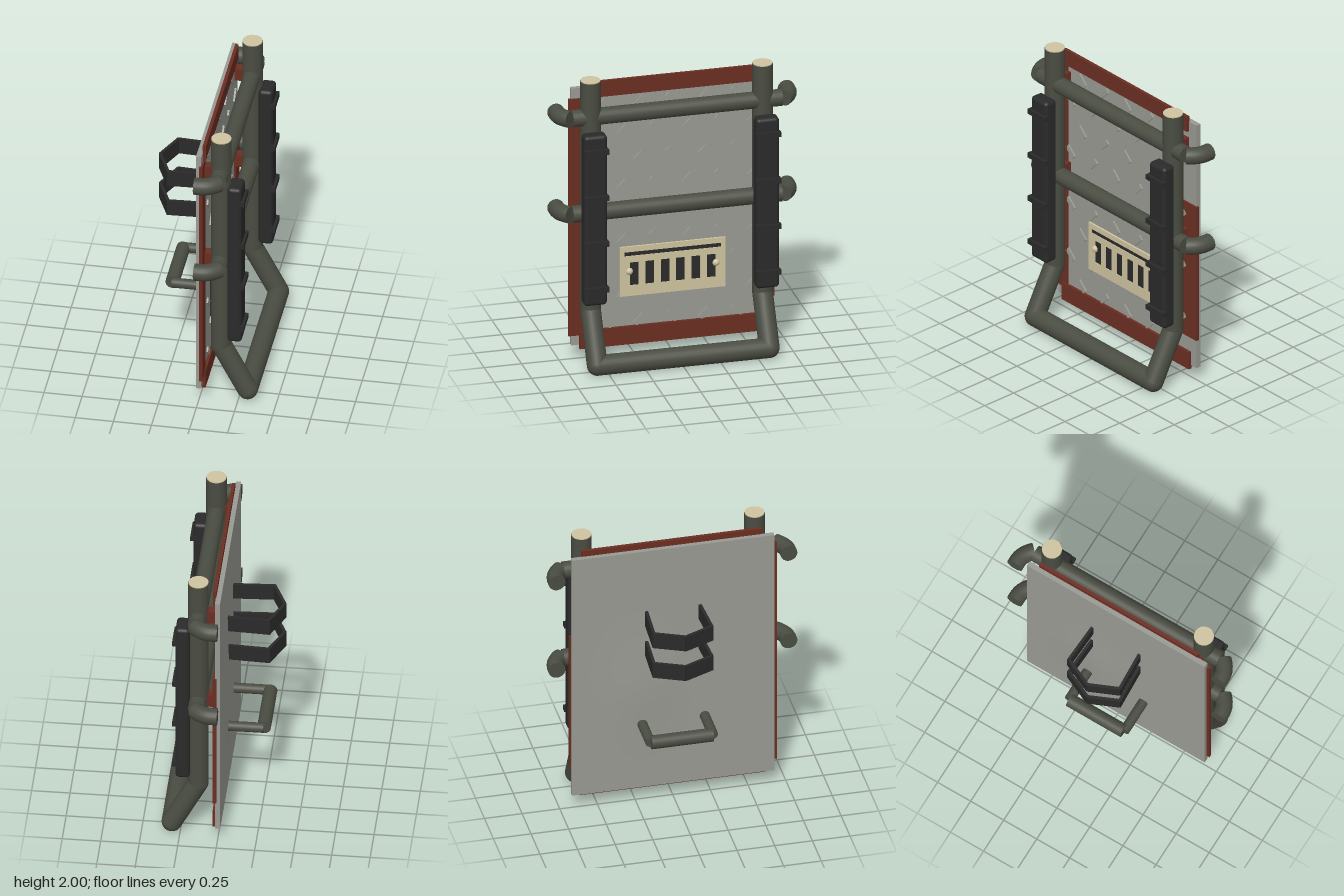
import * as THREE from 'three';
import { RoundedBoxGeometry } from 'three/addons/geometries/RoundedBoxGeometry.js';

const mat = (color, side = THREE.FrontSide) => new THREE.MeshStandardMaterial({ color, side });

export function createModel() {
  const root = new THREE.Group();
  const olive = mat(0x4a4d42), steel = mat(0x9a9a93), rust = mat(0x6b2e22);
  const rubber = mat(0x2b2a2b), cream = mat(0xcfc4a0);

  function add(name, geometry, material, x = 0, y = 0, z = 0) {
    const mesh = new THREE.Mesh(geometry, material);
    mesh.name = name;
    mesh.position.set(x, y, z);
    root.add(mesh);
    return mesh;
  }
  const box = (name, m, w, h, d, x, y, z) => add(name, new THREE.BoxGeometry(w, h, d), m, x, y, z);

  // Straight pipe between two points
  function pipe(name, a, b, r) {
    const p = new THREE.Vector3(...a), q = new THREE.Vector3(...b);
    const dir = q.clone().sub(p);
    const mesh = add(name, new THREE.CylinderGeometry(r, r, dir.length(), 24), olive);
    mesh.position.copy(p).add(q).multiplyScalar(0.5);
    mesh.quaternion.setFromUnitVectors(new THREE.Vector3(0, 1, 0), dir.normalize());
  }
  const joint = (name, p, r) => add(name, new THREE.SphereGeometry(r, 24, 16), olive, ...p);

  // Door panel, with a shallow dent pushed out of its back
  const panel = new THREE.BoxGeometry(0.034, 1.8, 1.345, 1, 28, 24);
  const pos = panel.attributes.position;
  for (let i = 0; i < pos.count; i++) {
    if (pos.getX(i) > 0) continue;
    const dy = (pos.getY(i) + 0.15) / 0.33, dz = (pos.getZ(i) + 0.2) / 0.22;
    pos.setX(i, pos.getX(i) - 0.017 * Math.exp(-dy * dy - dz * dz));
  }
  panel.computeVertexNormals();
  add('panel', panel, steel, 0, 1, 0);

  // Raised tread bars in staggered rows
  const treadGeometry = new THREE.BoxGeometry(0.016, 0.09, 0.036);
  for (let row = 0; row < 9; row++) {
    const odd = row % 2, count = odd ? 6 : 5;
    for (let i = 0; i < count; i++) {
      const z = (i - (count - 1) / 2) * 0.218;
      const tread = add('tread', treadGeometry, steel, 0.021, 0.24 + row * 0.191, z);
      tread.rotation.x = (i + odd) % 2 ? -Math.PI / 4 : Math.PI / 4;
    }
  }

  // Rusty edge strips
  box('topStrip', rust, 0.022, 0.11, 1.2, 0.025, 1.885, 0);
  box('bottomStrip', rust, 0.022, 0.125, 1.24, 0.026, 0.138, 0);
  box('leftStrip', rust, 0.022, 1.66, 0.12, 0.018, 1.0, 0.633);
  box('rightStrip', rust, 0.022, 0.99, 0.135, 0.018, 0.805, -0.617);

  // Posts, bent legs, pads and mounts on both sides
  const R = 0.067, postX = 0.133, barX = 0.305;
  for (const s of [-1, 1]) {
    const z = 0.575 * s;
    pipe('post', [postX, 0.395, z], [postX, 1.994, z], R);
    add('postCap', new THREE.CylinderGeometry(R * 0.97, R * 0.97, 0.008, 24), cream, postX, 1.996, z);
    joint('postBend', [postX, 0.395, z], R);
    pipe('lowerLeg', [postX, 0.395, z], [barX, R, z], R);
    joint('legBend', [barX, R, z], R);

    add('pad', new RoundedBoxGeometry(0.095, 1.19, 0.155, 4, 0.025), rubber, 0.23, 1.065, z);
    for (const y of [0.585, 0.905, 1.225, 1.55])
      box('padClip', rubber, 0.035, 0.036, 0.166, 0.278, y, z);
    for (const y of [1.07, 1.74])
      box('mount', rust, 0.08, 0.09, 0.06, 0.06, y, z);
  }
  pipe('bottomBar', [barX, R, -0.577], [barX, R, 0.577], R);

  // Cross bars with elbows turned towards the back
  const r = 0.056;
  for (const y of [1.07, 1.74]) {
    pipe('crossBar', [postX, y, -0.7], [postX, y, 0.7], r);
    for (const s of [-1, 1]) {
      const path = new THREE.CurvePath();
      const v = (x, z) => new THREE.Vector3(x, y, z * s);
      path.add(new THREE.LineCurve3(v(-0.01, 0.77), v(0.03, 0.77)));
      path.add(new THREE.QuadraticBezierCurve3(v(0.03, 0.77), v(0.085, 0.77), v(0.14, 0.715)));
      add('elbow', new THREE.TubeGeometry(path, 10, r, 20), olive);
      // End discs close the elbow
      for (const [x, z, turn] of [[-0.01, 0.77, -Math.PI / 2], [0.14, 0.715, s > 0 ? Math.PI * 0.75 : Math.PI / 4]]) {
        const disc = add('elbowEnd', new THREE.CircleGeometry(r, 20), olive, x, y, z * s);
        disc.rotation.y = turn;
      }
    }
  }

  // Vent plate with cut slots over a dark backing
  const rect = (P, cx, cy, w, h) => {
    const p = new P();
    p.moveTo(cx - w / 2, cy - h / 2);
    p.lineTo(cx + w / 2, cy - h / 2);
    p.lineTo(cx + w / 2, cy + h / 2);
    p.lineTo(cx - w / 2, cy + h / 2);
    p.closePath();
    return p;
  };
  const vent = rect(THREE.Shape, 0, 0, 0.704, 0.345);
  vent.holes.push(rect(THREE.Path, 0, 0.121, 0.645, 0.028));
  for (let i = 0; i < 6; i++)
    vent.holes.push(rect(THREE.Path, (i - 2.5) * 0.103, -0.018, 0.058, 0.16));
  const ventGeometry = new THREE.ExtrudeGeometry(vent, { depth: 0.014, bevelEnabled: false });
  ventGeometry.rotateY(Math.PI / 2);
  add('ventPlate', ventGeometry, cream, 0.028, 0.588, 0);
  box('ventBacking', rubber, 0.02, 0.32, 0.68, 0.027, 0.588, 0);
  for (const s of [-1, 1])
    add('ventScrew', new THREE.SphereGeometry(0.025, 16, 12), cream, 0.033, 0.587, 0.29 * s);

  // Back handle
  pipe('handleBar', [-0.255, 0.587, -0.205], [-0.255, 0.587, 0.205], 0.045);
  for (const s of [-1, 1])
    pipe('handleLeg', [-0.255, 0.587, 0.208 * s], [-0.01, 0.587, 0.208 * s], 0.033);

  // Pointed strap brackets on the back
  for (const y of [1.16, 1.387]) {
    for (const s of [-1, 1]) {
      const strap = (x1, z1, x2, z2) => {
        const dx = x2 - x1, dz = (z2 - z1) * s;
        const m = box('strap', rubber, Math.hypot(dx, dz) + 0.01, 0.11, 0.02, (x1 + x2) / 2, y, (z1 + z2) * s / 2);
        m.rotation.y = -Math.atan2(dz, dx);
      };
      strap(-0.015, 0.178, -0.285, 0.192);
      strap(-0.285, 0.192, -0.368, 0.004);
    }
  }
  return root;
}
